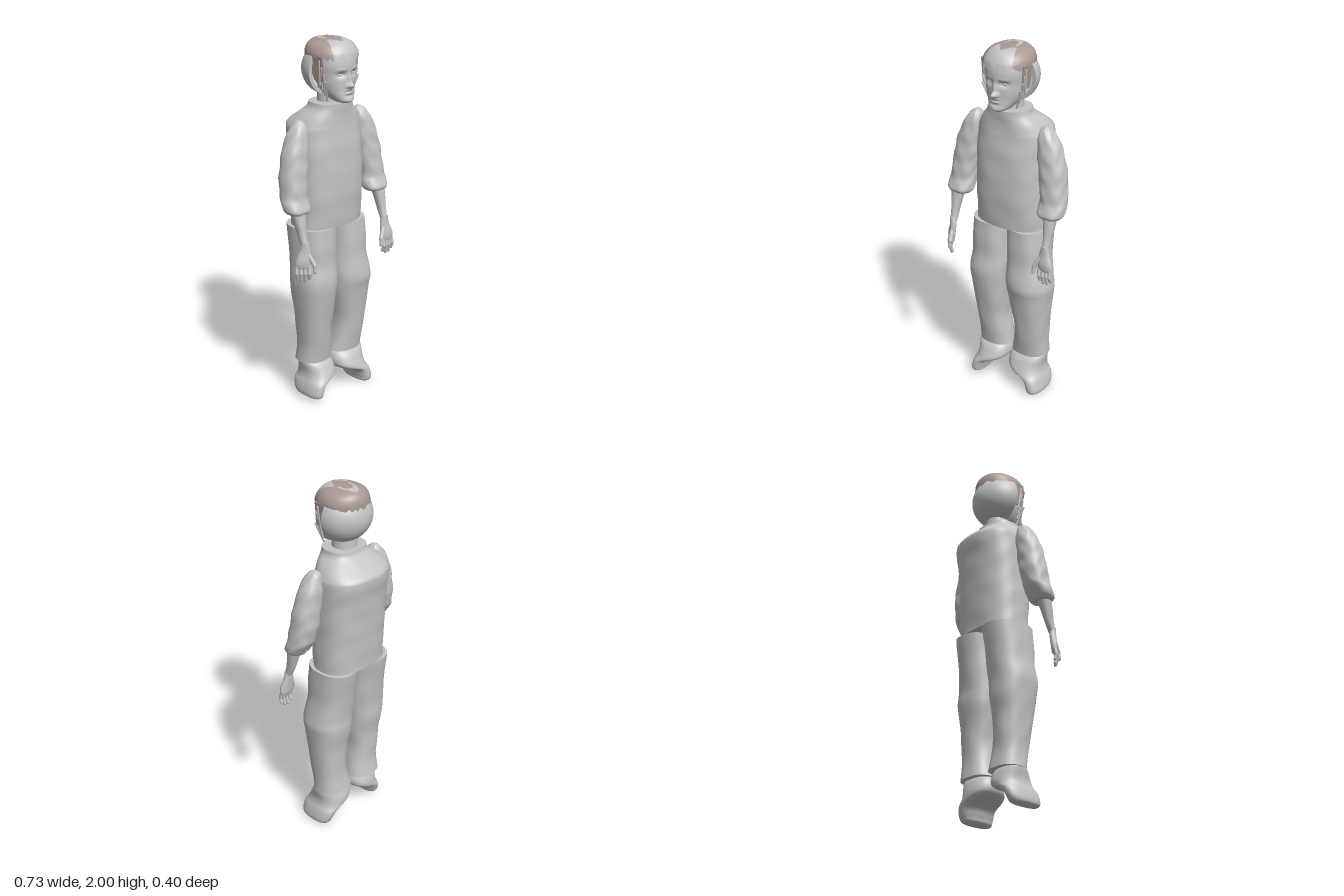
import * as THREE from 'three';

const cloth = new THREE.MeshStandardMaterial({ color: 0xc4c4c4, side: THREE.DoubleSide });
cloth.name = 'plain grey';
const brown = new THREE.MeshStandardMaterial({ color: 0xab9a94, side: THREE.DoubleSide });
brown.name = 'hair brown';

const bump = (d, s) => Math.exp(-(d * d) / (s * s));

// Smooth body through horizontal sections [y, x0, x1, z0, z1], listed from top to bottom.
function loft(rows, { n = 48, steps = 6, e = 2.3, mod, caps = true } = {}) {
  const s = rows.slice().reverse(), rings = [];
  for (let i = 0; i < s.length - 1; i++) {
    for (let k = 0; k < steps + (i === s.length - 2 ? 1 : 0); k++) {
      const t = k / steps, p = s[Math.max(i - 1, 0)], q = s[Math.min(i + 2, s.length - 1)];
      rings.push(s[i].map((b, c) => {
        const m0 = (s[i + 1][c] - p[c]) / 2, m1 = (q[c] - b) / 2, d = s[i + 1][c] - b;
        return b + m0 * t + (3 * d - 2 * m0 - m1) * t * t + (m0 + m1 - 2 * d) * t * t * t;
      }));
    }
  }
  const pos = [], idx = [];
  const pw = v => Math.sign(v) * Math.pow(Math.abs(v), 2 / e);
  for (const [y, x0, x1, z0, z1] of rings) {
    for (let j = 0; j < n; j++) {
      const a = (j / n) * Math.PI * 2;
      const v = new THREE.Vector3((x0 + x1) / 2 + pw(Math.cos(a)) * (x1 - x0) / 2, y,
        (z0 + z1) / 2 + pw(Math.sin(a)) * (z1 - z0) / 2);
      if (mod) mod(v, a);
      pos.push(v.x, v.y, v.z);
    }
  }
  for (let i = 0; i < rings.length - 1; i++) {
    for (let j = 0; j < n; j++) {
      const a = i * n + j, b = i * n + (j + 1) % n;
      idx.push(a, a + n, b, b, a + n, b + n);
    }
  }
  if (caps) {
    for (const [r, top] of [[0, false], [rings.length - 1, true]]) {
      const base = pos.length / 3, [y, x0, x1, z0, z1] = rings[r];
      for (let j = 0; j < n * 3; j++) pos.push(pos[r * n * 3 + j]);
      pos.push((x0 + x1) / 2, y, (z0 + z1) / 2);
      for (let j = 0; j < n; j++) {
        const a = base + j, b = base + (j + 1) % n;
        idx.push(base + n, top ? b : a, top ? a : b);
      }
    }
  }
  const g = new THREE.BufferGeometry();
  g.setAttribute('position', new THREE.Float32BufferAttribute(pos, 3));
  g.setIndex(idx);
  g.computeVertexNormals();
  return g;
}

function add(parent, name, geo, mat = cloth) {
  const m = new THREE.Mesh(geo, mat);
  m.name = name;
  parent.add(m);
  return m;
}

// Rounded rod between two points
function rod(parent, name, a, b, r) {
  const A = new THREE.Vector3(...a), B = new THREE.Vector3(...b), d = B.clone().sub(A);
  const m = add(parent, name, new THREE.CapsuleGeometry(r, d.length(), 4, 10));
  m.position.copy(A).add(B).multiplyScalar(0.5);
  m.quaternion.setFromUnitVectors(new THREE.Vector3(0, 1, 0), d.normalize());
  return m;
}

const flip = rows => rows.map(([y, a, b, c, d]) => [y, -b, -a, c, d]);
const sym = rows => rows.map(([y, h, c, d]) => [y, -h, h, c, d]);

// Soft creases in fabric
const folds = (k, amt) => (v, a) => {
  const w = amt * Math.sin(v.y * k + 2 * Math.sin(a * 2)) * Math.sin(a * 3 + v.y * 9);
  v.x += Math.cos(a) * w;
  v.z += Math.sin(a) * w;
};

// Relief of nose, eyes, lips and chin on the front of the head
function faceRelief(v, a) {
  if (Math.sin(a) < 0.1) return;
  const { x, y } = v, ax = Math.abs(x);
  v.z += 0.034 * bump(x, 0.015) * bump(y - 1.77, 0.015)
    + 0.017 * bump(x, 0.011) * bump(y - 1.805, 0.03)
    + 0.008 * bump(ax - 0.017, 0.009) * bump(y - 1.766, 0.009)
    - 0.015 * bump(ax - 0.043, 0.024) * bump(y - 1.828, 0.014)
    + 0.004 * bump(ax - 0.045, 0.028) * bump(y - 1.853, 0.008)
    + 0.010 * bump(x, 0.025) * bump(y - 1.747, 0.006)
    + 0.010 * bump(x, 0.022) * bump(y - 1.731, 0.006)
    - 0.005 * bump(x, 0.03) * bump(y - 1.715, 0.008);
}

// Grey streaks on the crown
function isStreak(x, z) {
  const ax = Math.abs(x);
  if (z > 0.04) return ax > 0.045 - 0.65 * (z - 0.04) && ax < 0.055 + 0.4 * (z - 0.04);
  const inside = (rx, rz) => (x / rx) ** 2 + ((z - 0.02) / rz) ** 2 < 1;
  return z < 0.02 && inside(0.045, 0.1) && !inside(0.033, 0.06);
}

function buildHead() {
  const head = new THREE.Group();
  head.name = 'head';
  add(head, 'face', loft(sym([
    [1.985, 0.03, -0.02, 0.06], [1.97, 0.08, -0.06, 0.115], [1.93, 0.11, -0.085, 0.145],
    [1.88, 0.117, -0.09, 0.158], [1.83, 0.112, -0.08, 0.155], [1.78, 0.103, -0.05, 0.155],
    [1.74, 0.088, -0.02, 0.155], [1.71, 0.07, 0, 0.163], [1.688, 0.05, 0.04, 0.166], [1.676, 0.025, 0.08, 0.15],
  ]), { n: 96, steps: 8, e: 2.1, mod: faceRelief }));
  add(head, 'neck', new THREE.CylinderGeometry(0.06, 0.07, 0.14, 32)).position.set(0, 1.7, 0.01);

  // Open shell behind the head, with a flat rim
  const shell = add(head, 'backOfHead', new THREE.SphereGeometry(0.15, 40, 32, Math.PI, Math.PI));
  const rim = add(head, 'shellRim', new THREE.RingGeometry(0.13, 0.15, 48));
  for (const m of [shell, rim]) {
    m.position.set(0, 1.843, 0.02);
    m.scale.set(1.05, 0.97, 1);
  }

  // Hair dome split into brown hair and grey streaks
  const dome = loft(sym([
    [2, 0.002, 0.018, 0.022], [1.997, 0.04, -0.045, 0.07], [1.99, 0.078, -0.08, 0.108],
    [1.97, 0.112, -0.104, 0.136], [1.94, 0.13, -0.115, 0.158], [1.91, 0.134, -0.117, 0.167],
  ]), { n: 96, steps: 8, e: 2.1, caps: false, mod: (v, a) => {
    const low = Math.max(0, (1.94 - v.y) / 0.03);
    v.y += low * 0.009 * Math.sin(a * 19 + 2 * Math.sin(a * 5));
  } });
  const p = dome.attributes.position, ix = dome.index.array, split = [[], []];
  for (let i = 0; i < ix.length; i += 3) {
    const t = [ix[i], ix[i + 1], ix[i + 2]];
    const mid = f => (f(t[0]) + f(t[1]) + f(t[2])) / 3;
    split[isStreak(mid(k => p.getX(k)), mid(k => p.getZ(k))) ? 1 : 0].push(...t);
  }
  split.forEach((list, i) => {
    const g = dome.clone();
    g.setIndex(list);
    add(head, i ? 'hairStreaks' : 'hair', g, i ? cloth : brown);
  });

  for (const s of [-1, 1]) {
    const burn = add(head, 'sideHair', new THREE.BoxGeometry(0.008, 0.13, 0.07), brown);
    burn.position.set(s * 0.123, 1.86, 0.055);
    burn.rotation.z = -s * 0.08;
    const eye = add(head, 'eye', new THREE.SphereGeometry(0.014, 16, 12));
    eye.position.set(s * 0.043, 1.826, 0.126);
    eye.scale.set(1.2, 0.65, 0.8);
    // Loose locks in front of the ears
    for (let i = 0; i < 4; i++) {
      const lock = rod(head, 'lock', [s * (0.132 - i * 0.005), 1.9 - i * 0.035, 0.07 + i * 0.01],
        [s * (0.118 - i * 0.012), 1.775 - i * 0.027, 0.06 + i * 0.006], 0.006);
      lock.scale.z = 0.8;
    }
  }
  return head;
}

// Hand hanging from the wrist; s points away from the body
function buildHand(s) {
  const hand = new THREE.Group();
  hand.name = s > 0 ? 'leftHand' : 'rightHand';
  const palm = [[0.02, -0.018, 0.018, -0.018, 0.018], [-0.03, -0.03, 0.03, -0.016, 0.02],
    [-0.08, -0.035, 0.05, -0.01, 0.028], [-0.115, -0.03, 0.052, -0.006, 0.026], [-0.125, -0.022, 0.045, 0, 0.02]];
  add(hand, 'palm', loft(s > 0 ? palm : flip(palm), { n: 24, steps: 4 }));
  [[-0.024, -0.178], [-0.002, -0.192], [0.02, -0.19], [0.042, -0.175]].forEach(([x, y], i) => {
    const knee = [s * (x + 0.002), -0.15, 0.022], r = 0.0105 - i * 0.0004;
    rod(hand, 'finger', [s * x, -0.11, 0.012], knee, r);
    rod(hand, 'finger', knee, [s * (x + 0.002), y, 0.012], r * 0.9);
  });
  rod(hand, 'thumb', [s * -0.02, -0.05, 0.01], [s * -0.05, -0.1, 0.026], 0.012);
  rod(hand, 'thumb', [s * -0.05, -0.1, 0.026], [s * -0.052, -0.135, 0.03], 0.01);
  return hand;
}

export function createModel() {
  const model = new THREE.Group();
  model.name = 'standingFigure';
  model.add(buildHead());

  add(model, 'torso', loft(sym([
    [1.67, 0.115, -0.08, 0.115], [1.64, 0.125, -0.09, 0.115], [1.6, 0.165, -0.14, 0.112],
    [1.56, 0.192, -0.192, 0.113], [1.52, 0.203, -0.198, 0.118], [1.4, 0.205, -0.182, 0.13],
    [1.2, 0.205, -0.167, 0.135], [1, 0.205, -0.155, 0.12],
  ]), { n: 64, e: 2.5, mod: folds(38, 0.002) }));

  const sleeve = [
    [1.597, 0.205, 0.23, -0.005, 0.025], [1.57, 0.185, 0.26, -0.03, 0.05], [1.5, 0.178, 0.302, -0.045, 0.072],
    [1.4, 0.188, 0.335, -0.047, 0.085], [1.3, 0.203, 0.35, -0.045, 0.097], [1.22, 0.215, 0.358, -0.03, 0.105],
    [1.18, 0.212, 0.365, -0.01, 0.115], [1.145, 0.215, 0.361, 0.01, 0.126], [1.127, 0.23, 0.345, 0.025, 0.12]];
  const forearm = [
    [1.16, 0.25, 0.335, 0.04, 0.115], [1.08, 0.268, 0.328, 0.065, 0.128],
    [1.02, 0.277, 0.32, 0.085, 0.138], [0.96, 0.279, 0.317, 0.115, 0.152]];
  const legs = {
    left: [[1, -0.005, 0.222, -0.155, 0.12], [0.9, 0, 0.225, -0.14, 0.125], [0.8, 0, 0.227, -0.125, 0.127],
      [0.7, 0, 0.245, -0.115, 0.14], [0.65, 0.005, 0.254, -0.115, 0.142], [0.6, 0.01, 0.25, -0.11, 0.132],
      [0.5, 0.028, 0.24, -0.096, 0.115], [0.4, 0.042, 0.23, -0.09, 0.103], [0.3, 0.035, 0.224, -0.09, 0.088],
      [0.213, 0.015, 0.225, -0.1, 0.075]],
    right: [[1, -0.005, 0.222, -0.155, 0.12], [0.9, 0, 0.225, -0.14, 0.125], [0.8, 0, 0.228, -0.125, 0.125],
      [0.7, 0.004, 0.238, -0.115, 0.138], [0.6, 0.012, 0.228, -0.11, 0.13], [0.5, 0.02, 0.217, -0.095, 0.113],
      [0.4, 0.03, 0.207, -0.09, 0.1], [0.3, 0.015, 0.198, -0.088, 0.085], [0.213, 0, 0.202, -0.1, 0.073]],
  };
  // Shoes turn outward and down from a raised heel
  const shoe = [
    [0.235, 0.06, 0.225, -0.05, 0.03], [0.2, 0.02, 0.225, -0.075, 0.08], [0.15, 0.01, 0.218, -0.09, 0.108],
    [0.115, 0.035, 0.222, -0.092, 0.122], [0.08, 0.125, 0.235, -0.088, 0.13], [0.035, 0.15, 0.246, -0.075, 0.132],
    [0.01, 0.157, 0.244, -0.06, 0.127], [0, 0.17, 0.232, -0.045, 0.115]];

  for (const s of [1, -1]) {
    const side = s > 0 ? 'left' : 'right', own = rows => (s > 0 ? rows : flip(rows));
    add(model, side + 'Sleeve', loft(own(sleeve), { mod: folds(55, 0.003) }));
    add(model, side + 'Forearm', loft(own(forearm), { n: 28 }));
    const hand = buildHand(s);
    hand.position.set(s * 0.298, 0.965, 0.135);
    if (s < 0) hand.rotation.y = -0.8;
    model.add(hand);
    add(model, side + 'TrouserLeg', loft(own(legs[side]), { e: 2.4, mod: folds(25, 0.0015) }));
    const foot = add(model, side + 'Shoe', loft(own(shoe), { e: 2.4 }));
    if (s < 0) {
      foot.scale.set(0.88, 0.92, 1);
      foot.position.y = 0.02;
    }
  }
  return model;
}
